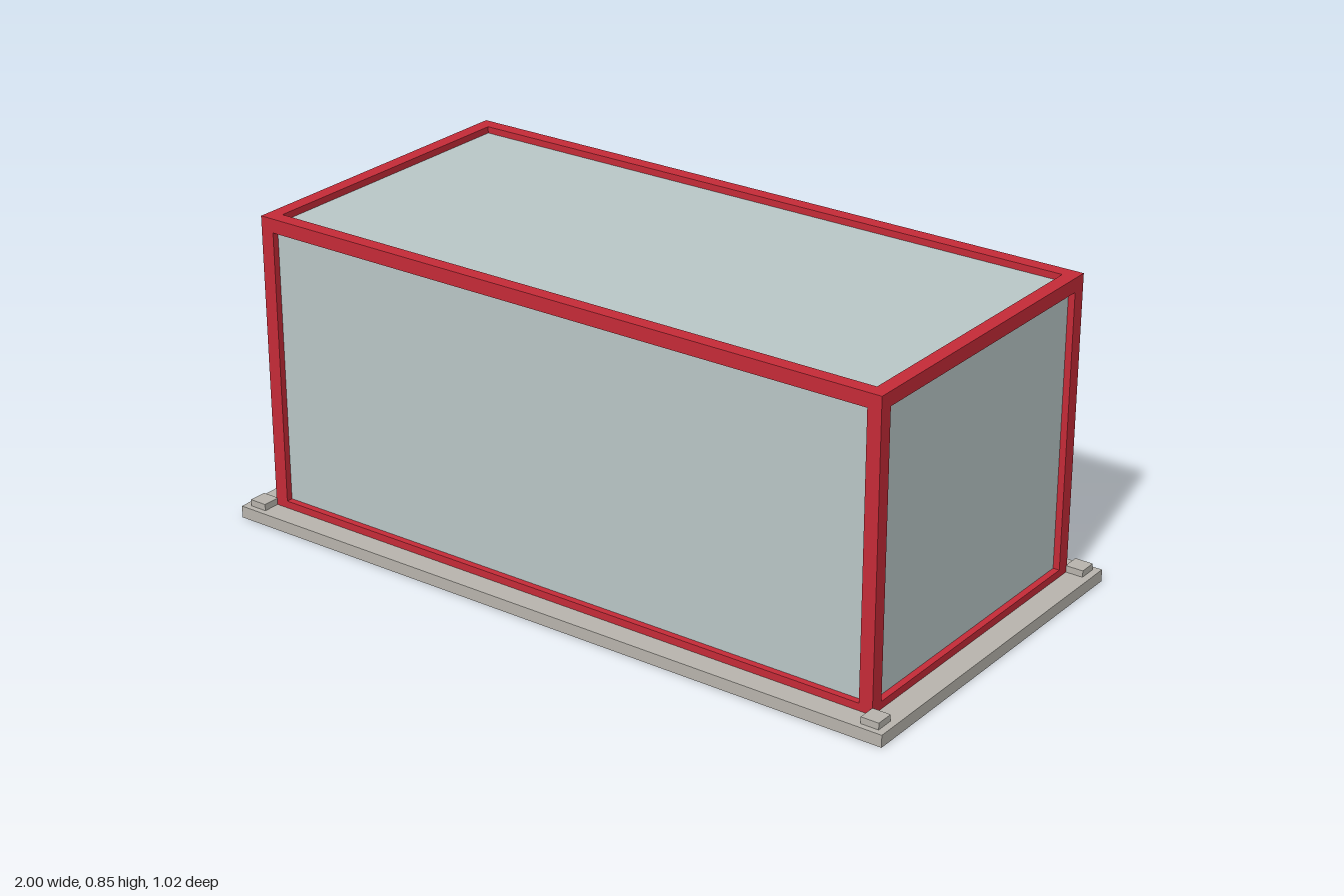
import * as THREE from 'three';

export function createModel() {
  const model = new THREE.Group();
  const frameRed = new THREE.MeshStandardMaterial({ name: 'frame red', color: 0xc62b38 });
  const paleGlass = new THREE.MeshStandardMaterial({ name: 'pale glass', color: 0xbac8c8 });
  const stoneGrey = new THREE.MeshStandardMaterial({ name: 'stone grey', color: 0xb9b5ae });

  // Box given by its min and max corners
  function box(name, material, [x0, y0, z0], [x1, y1, z1]) {
    const mesh = new THREE.Mesh(new THREE.BoxGeometry(x1 - x0, y1 - y0, z1 - z0), material);
    mesh.position.set((x0 + x1) / 2, (y0 + y1) / 2, (z0 + z1) / 2);
    mesh.name = name;
    model.add(mesh);
  }

  const X = 0.933, Z = 0.449;        // outer half sizes of the frame
  const floor = 0.033, top = 0.846;  // frame bottom and top
  const beam = 0.038, sill = 0.053;  // beam thickness, top of the bottom rails
  const recess = 0.018;              // glass set back from the frame faces
  const xi = X - beam, zi = Z - beam, yi = top - beam;

  // Base slab
  box('base', stoneGrey, [-1, 0, -0.512], [1, floor, 0.512]);

  // Glass body, filling the frame just behind its outer faces
  box('glassPanels', paleGlass,
    [-X + recess, floor, -Z + recess], [X - recess, top - recess, Z - recess]);

  // Corner posts and small foot pads outside them
  for (const sx of [-1, 1]) {
    for (const sz of [-1, 1]) {
      const span = (a, b, s) => (s > 0 ? [a, b] : [-b, -a]);
      const [x0, x1] = span(xi, X, sx), [z0, z1] = span(zi, Z, sz);
      box('cornerPost', frameRed, [x0, floor, z0], [x1, top, z1]);
      const [px0, px1] = span(0.931, 0.981, sx), [pz0, pz1] = span(0.446, 0.496, sz);
      box('footPad', stoneGrey, [px0, floor, pz0], [px1, 0.051, pz1]);
    }
  }

  // Top and bottom rails between the posts
  for (const [label, y0, y1] of [['bottom', floor, sill], ['top', yi, top]]) {
    for (const s of [-1, 1]) {
      const zc = s * (Z - beam / 2), xc = s * (X - beam / 2);
      box(label + 'LongRail', frameRed, [-xi, y0, zc - beam / 2], [xi, y1, zc + beam / 2]);
      box(label + 'EndRail', frameRed, [xc - beam / 2, y0, -zi], [xc + beam / 2, y1, zi]);
    }
  }
  return model;
}
